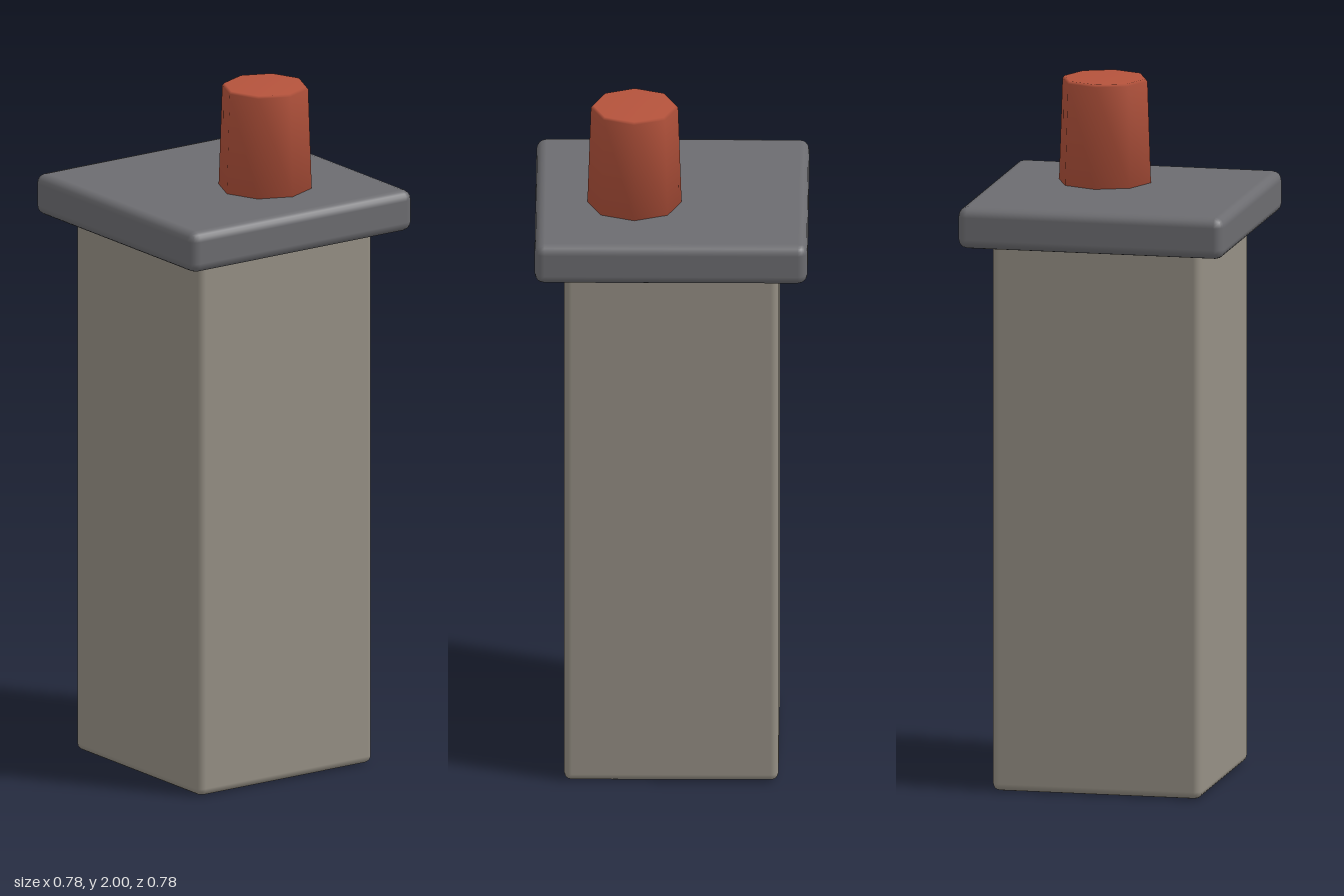
import * as THREE from 'three';
import { RoundedBoxGeometry } from 'three/addons/geometries/RoundedBoxGeometry.js';

function part(name, geometry, color, x, y, z) {
  const mesh = new THREE.Mesh(geometry, new THREE.MeshStandardMaterial({ color }));
  mesh.name = name;
  mesh.position.set(x, y, z);
  return mesh;
}

// Block with softly rounded edges, standing on the given height
function block(name, width, bottom, top, radius, color) {
  const geometry = new RoundedBoxGeometry(width, top - bottom, width, 2, radius);
  return part(name, geometry, color, 0, (bottom + top) / 2, 0);
}

export function createModel() {
  const group = new THREE.Group();
  group.name = 'chimney';

  // Tall square stack and the slab that overhangs it
  group.add(block('stack', 0.61, 0, 1.6, 0.022, 0x958f84));
  group.add(block('capSlab', 0.776, 1.58, 1.7, 0.028, 0x6c6c70));

  // Eight-sided tapered pot, set off-centre, with a fine bevel at its closed top
  const profile = [[0, 0], [0.134, 0], [0.124, 0.293], [0.118, 0.3], [0, 0.3]]
    .map(([r, y]) => new THREE.Vector2(r, y));
  group.add(part('chimneyPot', new THREE.LatheGeometry(profile, 8), 0xb5533c, 0.106, 1.7, -0.068));

  return group;
}
